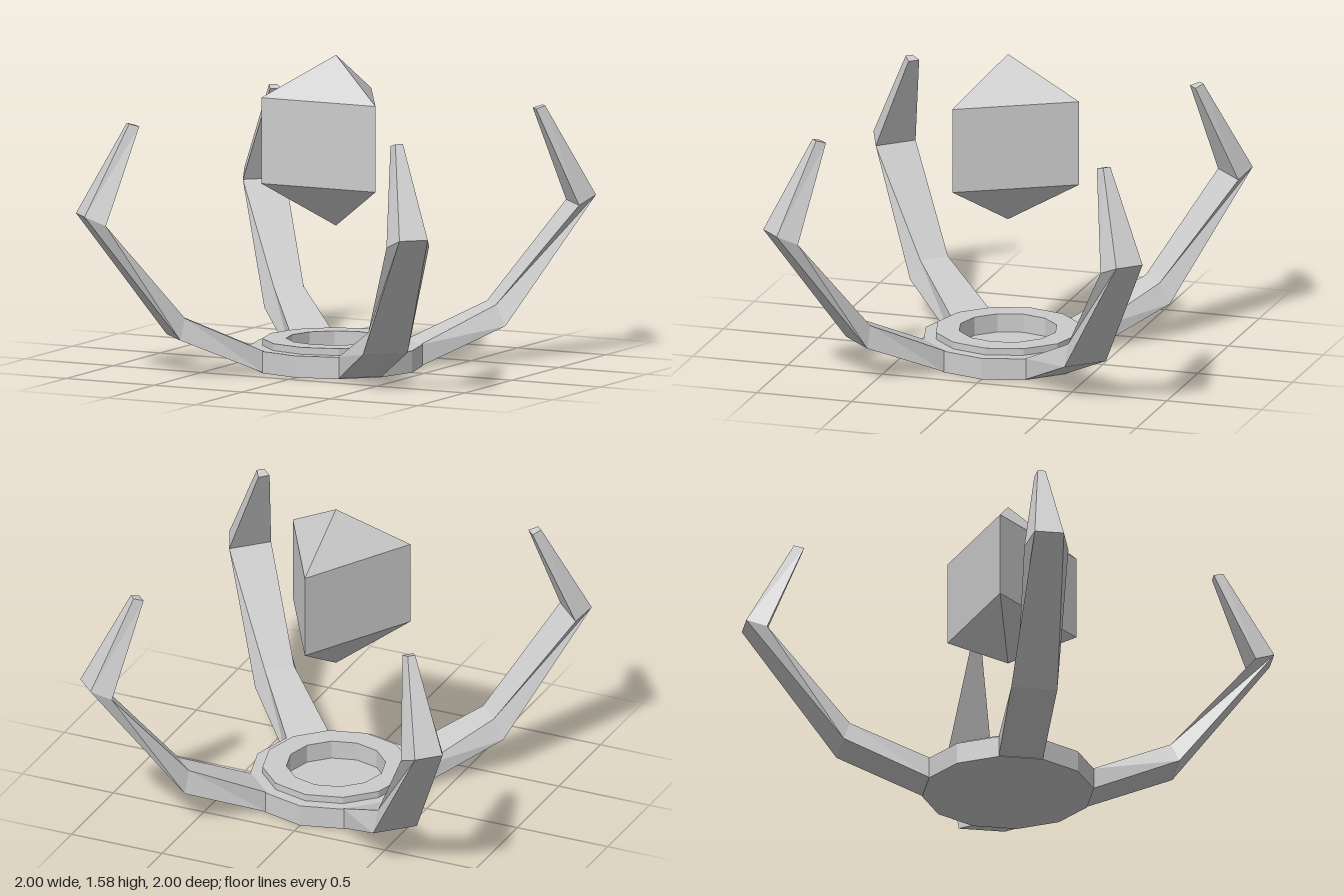
import * as THREE from 'three';

const material = new THREE.MeshStandardMaterial({ color: 0xcccccc, flatShading: true });

// Faceted solid of revolution from [radius, y] pairs
function facetedLathe(name, profile, sides, start = 0) {
  const points = profile.map(([r, y]) => new THREE.Vector2(r, y));
  const geometry = new THREE.LatheGeometry(points, sides, start).toNonIndexed();
  geometry.computeVertexNormals();
  const mesh = new THREE.Mesh(geometry, material);
  mesh.name = name;
  return mesh;
}

// Four-sided claw, lofted outward along +z.
// Section: outer edge [distance, y, half width], inner edge [distance, y, half width]
function clawGeometry() {
  const sections = [
    [[0.41, 0, 0.112], [0.41, 0.11, 0.112]],
    [[0.852, 0.185, 0.117], [0.815, 0.29, 0.078]],
    [[1.34, 0.825, 0.074], [1.24, 0.78, 0.112]],
    [[1.09, 1.28, 0.02], [1.04, 1.265, 0.03]],
  ];
  const positions = [];
  for (const [[ro, yo, wo], [ri, yi, wi]] of sections) {
    positions.push(-wo, yo, ro, wo, yo, ro, wi, yi, ri, -wi, yi, ri);
  }
  const index = [];
  for (let s = 0; s < sections.length - 1; s++) {
    for (let i = 0; i < 4; i++) {
      const a = s * 4 + i, b = s * 4 + (i + 1) % 4;
      index.push(a, b, b + 4, a, b + 4, a + 4);
    }
  }
  // Blunt tip
  const e = (sections.length - 1) * 4;
  index.push(e, e + 1, e + 2, e, e + 2, e + 3);
  const indexed = new THREE.BufferGeometry();
  indexed.setAttribute('position', new THREE.Float32BufferAttribute(positions, 3));
  indexed.setIndex(index);
  const geometry = indexed.toNonIndexed();
  geometry.computeVertexNormals();
  return geometry;
}

export function createModel() {
  const model = new THREE.Group();
  model.name = 'crystalPedestal';

  // Twelve-sided base with a raised ring around a sunken dish
  model.add(facetedLathe('base', [
    [0, 0], [0.433, 0], [0.433, 0.11], [0.37, 0.11],
    [0.37, 0.145], [0.25, 0.145], [0.25, 0.05], [0, 0.05],
  ], 12));

  // Four claws on the diagonals
  const claw = clawGeometry();
  for (let i = 0; i < 4; i++) {
    const mesh = new THREE.Mesh(claw, material);
    mesh.name = `claw${i + 1}`;
    mesh.rotation.y = Math.PI / 4 + i * Math.PI / 2;
    model.add(mesh);
  }

  // Floating three-sided crystal, pointed at both ends
  model.add(facetedLathe('crystal', [
    [0, 0.715], [0.375, 0.93], [0.375, 1.365], [0, 1.58],
  ], 3, Math.PI));

  return model;
}
